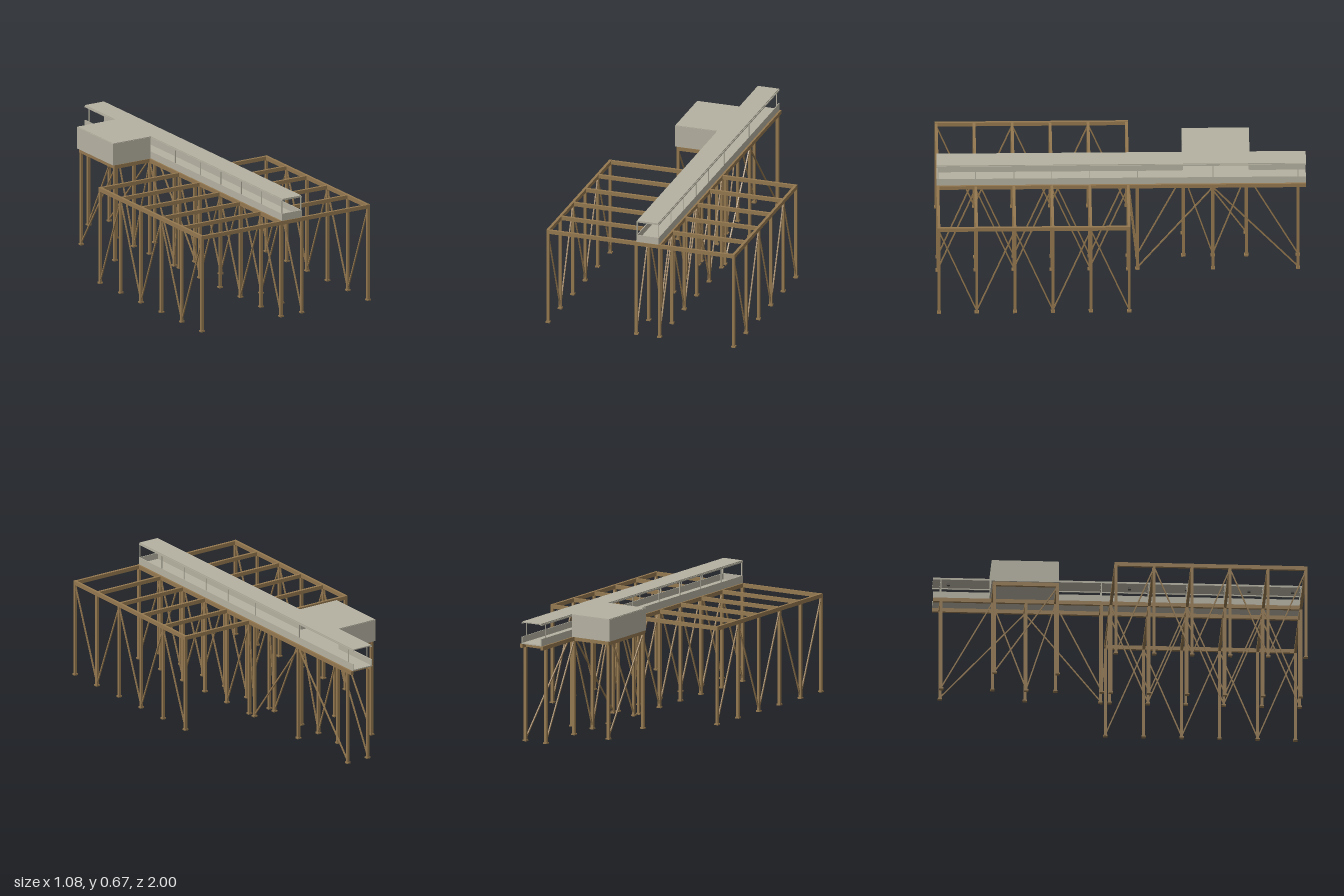
import * as THREE from 'three';

export function createModel() {
  const model = new THREE.Group();
  model.name = 'elevatedWalkway';
  const mat = (name, color) => {
    const m = new THREE.MeshStandardMaterial({ color });
    m.name = name;
    return m;
  };
  const wood = mat('timber', 0x94784f);
  const panel = mat('panel', 0xb5b1a1);
  const lining = mat('lining', 0x9f9c8e);
  const dark = mat('lampGrey', 0x55534c);

  // Box given by its limits on each axis
  const box = (name, m, x0, x1, y0, y1, z0, z1) => {
    const mesh = new THREE.Mesh(new THREE.BoxGeometry(x1 - x0, y1 - y0, z1 - z0), m);
    mesh.position.set((x0 + x1) / 2, (y0 + y1) / 2, (z0 + z1) / 2);
    mesh.name = name;
    model.add(mesh);
    return mesh;
  };

  const H = 0.0075; // half width of posts and beams
  const beamLow = 0.521, beamTop = 0.543;
  const post = (x, z) => {
    box('post', wood, x - H, x + H, 0, beamLow, z - H, z + H);
    box('postFoot', wood, x - 0.0115, x + 0.0115, 0, 0.008, z - 0.0115, z + 0.0115);
  };
  const beamZ = (x, z0, z1) => box('longBeam', wood, x - H, x + H, beamLow, beamTop, z0, z1);
  const beamX = (z, x0, x1) => box('crossBeam', wood, x0 - H, x1 + H, beamLow, beamTop - 0.001, z - H, z + H);

  // Diagonal brace in a plane of constant x
  const brace = (x, za, ya, zb, yb) => {
    const mesh = new THREE.Mesh(
      new THREE.BoxGeometry(0.007, 0.007, Math.hypot(zb - za, yb - ya)), wood);
    mesh.position.set(x, (ya + yb) / 2, (za + zb) / 2);
    mesh.rotation.x = -Math.atan2(yb - ya, zb - za);
    mesh.name = 'brace';
    model.add(mesh);
  };
  // Row of posts with zigzag bracing
  const row = (x, zs, startHigh) => {
    zs.forEach((z, i) => {
      post(x, z);
      if (i === 0) return;
      const prevHigh = (i % 2 === 1) === startHigh;
      brace(x, zs[i - 1], prevHigh ? beamLow : 0.012, z, prevHigh ? 0.012 : beamLow);
    });
  };

  // Timber frame: outer rows, inner rows and room row
  const bays = [0.987, 0.783, 0.577, 0.372, 0.167, -0.04];
  const outer = 0.53, xl = -0.025, xr = 0.107, xRoom = -0.247;
  for (const x of [-outer, outer]) {
    row(x, bays, true);
    beamZ(x, -0.04 - H, 0.987 + H);
  }
  row(xr, [...bays, -0.09, -0.498, -0.957], false);
  row(xl, [...bays, -0.09, -0.34, -0.498, -0.68, -0.957], false);
  row(xRoom, [-0.34, -0.68], true);
  for (const x of [xl, xr]) beamZ(x, -1, 0.995);
  beamZ(xRoom, -0.69, -0.333);
  for (const z of bays) beamX(z, -outer, outer);
  for (const z of [-0.09, -0.498, -0.957]) beamX(z, xl, xr);
  for (const z of [-0.34, -0.68]) beamX(z, xRoom, xl);

  // Walkway floor, parapets and end panel
  const back = -1, front = 0.993, wl = -0.023, wr = 0.104, t = 0.005;
  const sill = 0.583, roofLow = 0.661, roofTop = 0.667;
  const rz0 = -0.697, rz1 = -0.333, rx = -0.263;
  box('walkwayFloor', panel, wl, wr, beamTop, 0.549, back, front);
  box('leftParapet', panel, wr - t, wr, beamTop, sill, back, front);
  box('rightParapetFront', panel, wl, wl + t, beamTop, sill, rz1, front);
  box('rightParapetBack', panel, wl, wl + t, beamTop, sill, back, rz0);
  box('endPanel', panel, wl, wr, beamTop, sill, front - t, front);

  // Walkway roof with its slim posts, rails and cross ties
  box('walkwayRoof', panel, wl + 0.003, wr - 0.004, roofLow, roofTop, back, front);
  box('leftRail', panel, wr - t, wr, 0.655, 0.662, back, front);
  box('rightRailFront', panel, wl, wl + t, 0.655, 0.662, rz1, front);
  box('rightRailBack', panel, wl, wl + t, 0.655, 0.662, back, rz0);
  for (const z of [...bays.slice(0, 5), -0.09, -0.498, -0.957]) {
    box('leftRoofPost', panel, wr - t, wr, sill, 0.656, z - 0.0025, z + 0.0025);
    if (z < rz0 || z > rz1)
      box('rightRoofPost', panel, wl, wl + t, sill, 0.656, z - 0.0025, z + 0.0025);
    box('roofTie', panel, wl, wr, 0.655, roofLow, z - 0.0025, z + 0.0025);
  }

  // Side room, open towards the walkway
  box('roomFloor', panel, rx, wl, beamTop, 0.549, rz0, rz1);
  box('roomRoof', panel, rx + 0.003, wl + 0.003, roofLow, roofTop, rz0 + 0.002, rz1 - 0.002);
  box('roomOuterWall', panel, rx, rx + t, beamTop, 0.664, rz0, rz1);
  box('roomFrontWall', panel, rx, wl, beamTop, 0.664, rz1 - t, rz1);
  box('roomBackWall', panel, rx, wl, beamTop, 0.664, rz0, rz0 + t);
  box('roomLining', lining, rx + t, rx + t + 0.002, 0.549, roofLow, rz0 + t, rz1 - t);

  // Ceiling lamps
  for (const z of [0.945, 0.71, 0.372, 0.065, -0.41, -0.58, -0.915])
    box('ceilingLamp', dark, 0.031, 0.05, 0.65, roofLow, z - 0.008, z + 0.008);

  return model;
}
